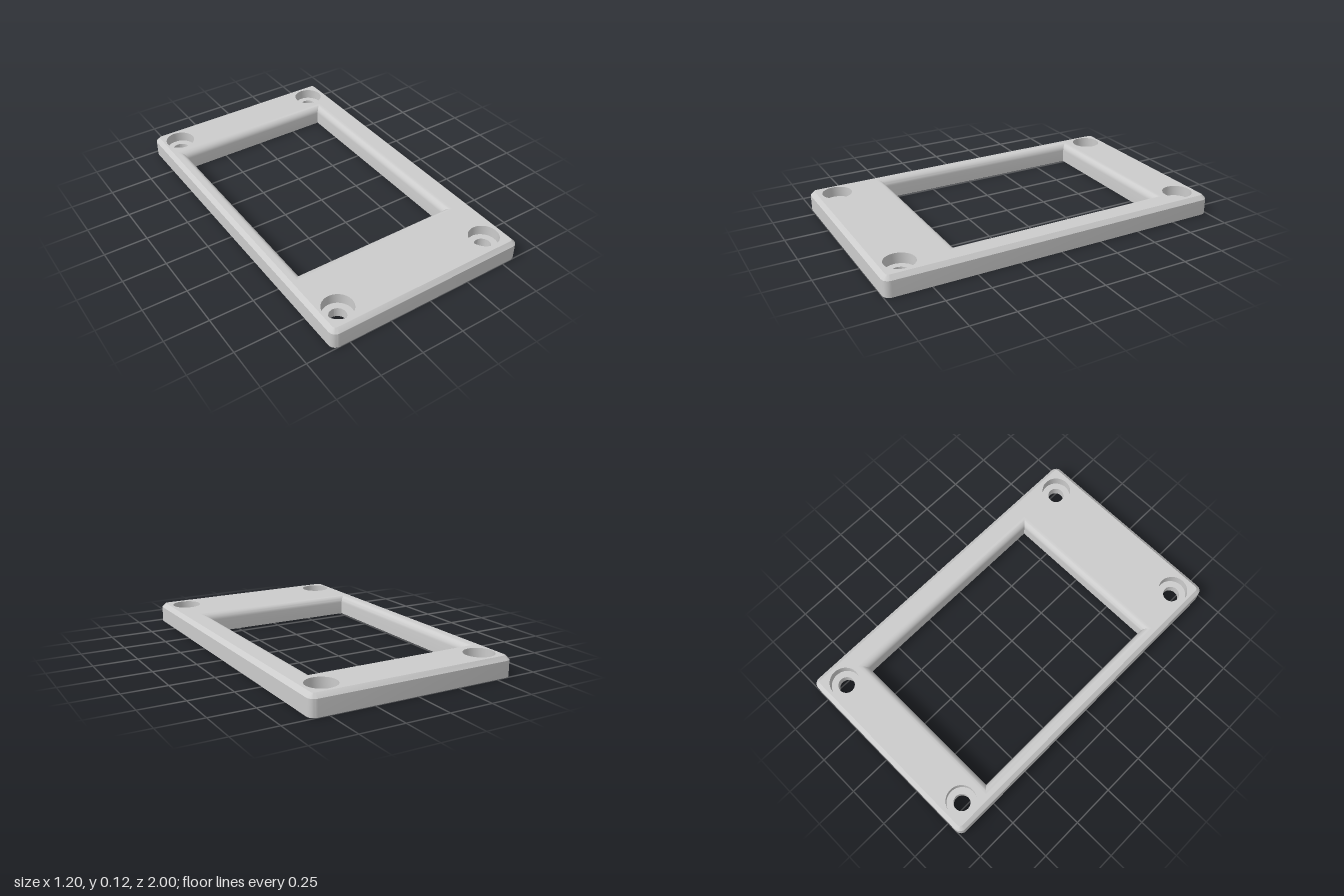
import * as THREE from 'three';
import { toCreasedNormals } from 'three/addons/utils/BufferGeometryUtils.js';

const H = 0.115, CHAMFER = 0.023, CORNER = 0.04, FILLET = 0.04;
const BORE = 0.085, HOLE = 0.047, FLOOR = 0.055;
const OUTER = { x0: -0.6, x1: 0.6, z0: -1, z1: 1 };
const WINDOW = { x0: -0.51, x1: 0.445, z0: -0.715, z1: 0.557 };
const SCREWS = [[-0.48, -0.873], [0.471, -0.873], [-0.48, 0.866], [0.471, 0.866]];

const grow = (r, d) => ({ x0: r.x0 - d, x1: r.x1 + d, z0: r.z0 - d, z1: r.z1 + d });

// Rectangle outline as [x, z], counter-clockwise seen from above
function outline(r, radius) {
  const steps = radius > 0 ? 6 : 0, pts = [];
  const corners = [[r.x1, r.z0, 1, 1], [r.x0, r.z0, -1, 1], [r.x0, r.z1, -1, -1], [r.x1, r.z1, 1, -1]];
  corners.forEach(([x, z, sx, sz], k) => {
    for (let i = 0; i <= steps; i++) {
      const a = (k + (steps ? i / steps : 0.5)) * Math.PI / 2;
      pts.push([x + radius * (Math.cos(a) - sx), z + radius * (sz - Math.sin(a))]);
    }
  });
  return pts;
}

// Walls through stacked outlines, facing outward or inward
function loft(rings, inward) {
  const n = rings[0].pts.length, pos = [], idx = [];
  rings.forEach(({ y, pts }) => pts.forEach(([x, z]) => pos.push(x, y, z)));
  for (let j = 0; j < rings.length - 1; j++) {
    for (let i = 0; i < n; i++) {
      const a = j * n + i, b = j * n + (i + 1) % n, c = b + n, d = a + n;
      if (inward) idx.push(a, c, b, a, d, c);
      else idx.push(a, b, c, a, c, d);
    }
  }
  const g = new THREE.BufferGeometry();
  g.setAttribute('position', new THREE.Float32BufferAttribute(pos, 3));
  g.setIndex(idx);
  return toCreasedNormals(g, 0.5);
}

// Flat plate with window and screw openings; up = 1 faces +y, -1 faces -y
function cap(outer, inner, holeRadius, y, up) {
  const flat = pts => pts.map(([x, z]) => new THREE.Vector2(x, -up * z));
  const shape = new THREE.Shape(flat(outer));
  shape.holes.push(new THREE.Path(flat(inner)));
  for (const [x, z] of SCREWS) {
    shape.holes.push(new THREE.Path().absarc(x, -up * z, holeRadius, 0, Math.PI * 2, true));
  }
  return new THREE.ShapeGeometry(shape, 24).rotateX(-up * Math.PI / 2).translate(0, y, 0);
}

export function createModel() {
  const group = new THREE.Group();
  group.name = 'frame';
  const material = new THREE.MeshStandardMaterial({ color: 0xcccccc });
  const add = (name, geometry) => {
    const mesh = new THREE.Mesh(geometry, material);
    mesh.name = name;
    group.add(mesh);
    return mesh;
  };

  // Outer rim with rounded corners and chamfered top edge
  const rim = outline(OUTER, CORNER);
  const topRim = outline(grow(OUTER, -CHAMFER), CORNER - CHAMFER);
  add('outerRim', loft([{ y: 0, pts: rim }, { y: H - CHAMFER, pts: rim }, { y: H, pts: topRim }], false));

  // Window walls rolling over into the top face
  const wall = [{ y: 0, pts: outline(WINDOW, 0) }];
  for (let i = 0; i <= 8; i++) {
    const a = i / 8 * Math.PI / 2;
    wall.push({
      y: H - FILLET + FILLET * Math.sin(a),
      pts: outline(grow(WINDOW, FILLET * (1 - Math.cos(a))), 0),
    });
  }
  add('windowWall', loft(wall, true));

  // Top and bottom faces
  add('topFace', cap(topRim, outline(grow(WINDOW, FILLET), 0), BORE, H, 1));
  add('bottomFace', cap(rim, outline(WINDOW, 0), HOLE, 0, -1));

  // Counterbored screw holes
  const profile = [[BORE, H], [BORE, FLOOR], [HOLE, FLOOR], [HOLE, 0]].map(p => new THREE.Vector2(...p));
  const hole = toCreasedNormals(new THREE.LatheGeometry(profile, 48), 0.5);
  for (const [x, z] of SCREWS) add('screwHole', hole).position.set(x, 0, z);

  return group;
}
